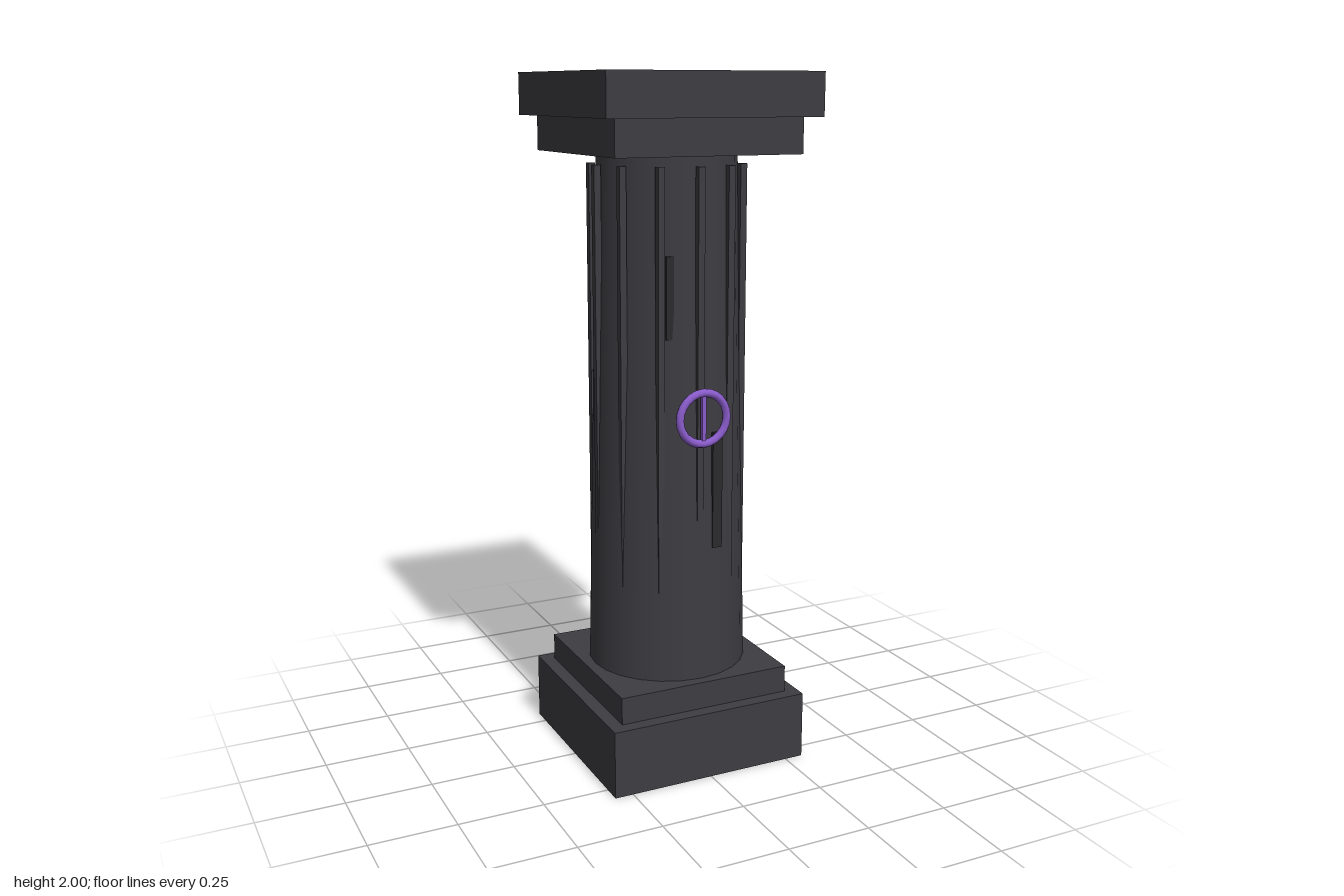
import * as THREE from 'three';

export function createModel() {
  const group = new THREE.Group();
  const stone = new THREE.MeshStandardMaterial({ color: 0x3d3c41 });
  stone.name = 'dark stone';
  const crackStone = new THREE.MeshStandardMaterial({ color: 0x2a292d });
  crackStone.name = 'crack shadow';
  const purple = new THREE.MeshStandardMaterial({ color: 0x8a5ccb });
  purple.name = 'purple';

  const add = (name, geometry, material, x, y, z) => {
    const mesh = new THREE.Mesh(geometry, material);
    mesh.name = name;
    mesh.position.set(x, y, z);
    group.add(mesh);
    return mesh;
  };

  // Square slabs of the base and capital: name, width, bottom, top
  const slabs = [
    ['plinth', 0.61, 0, 0.2],
    ['baseStep', 0.53, 0.2, 0.28],
    ['capitalStep', 0.56, 1.78, 1.88],
    ['abacus', 0.64, 1.88, 2],
  ];
  for (const [name, width, bottom, top] of slabs) {
    add(name, new THREE.BoxGeometry(width, top - bottom, width), stone, 0, (bottom + top) / 2, 0);
  }

  // Tapered round shaft
  add('shaft', new THREE.CylinderGeometry(0.2, 0.235, 1.5, 24), stone, 0, 1.03, 0);

  // Twelve upright ribs that sink into the widening shaft
  const ribGeometry = new THREE.BoxGeometry(0.02, 1.4, 0.02);
  for (let i = 0; i < 12; i++) {
    const angle = (i * Math.PI) / 6;
    add('rib', ribGeometry, stone, Math.sin(angle) * 0.215, 1.05, Math.cos(angle) * 0.215);
  }

  // Narrow cracks on the front
  add('upperCrack', new THREE.BoxGeometry(0.022, 0.23, 0.02), crackStone, -0.082, 1.395, 0.186);
  add('lowerCrack', new THREE.BoxGeometry(0.03, 0.34, 0.02), crackStone, 0.055, 0.84, 0.214);

  // Ring emblem with an upright bar
  add('ring', new THREE.TorusGeometry(0.073, 0.012, 8, 24), purple, 0, 1.06, 0.24);
  add('ringBar', new THREE.BoxGeometry(0.012, 0.146, 0.012), purple, 0, 1.06, 0.24);

  return group;
}
